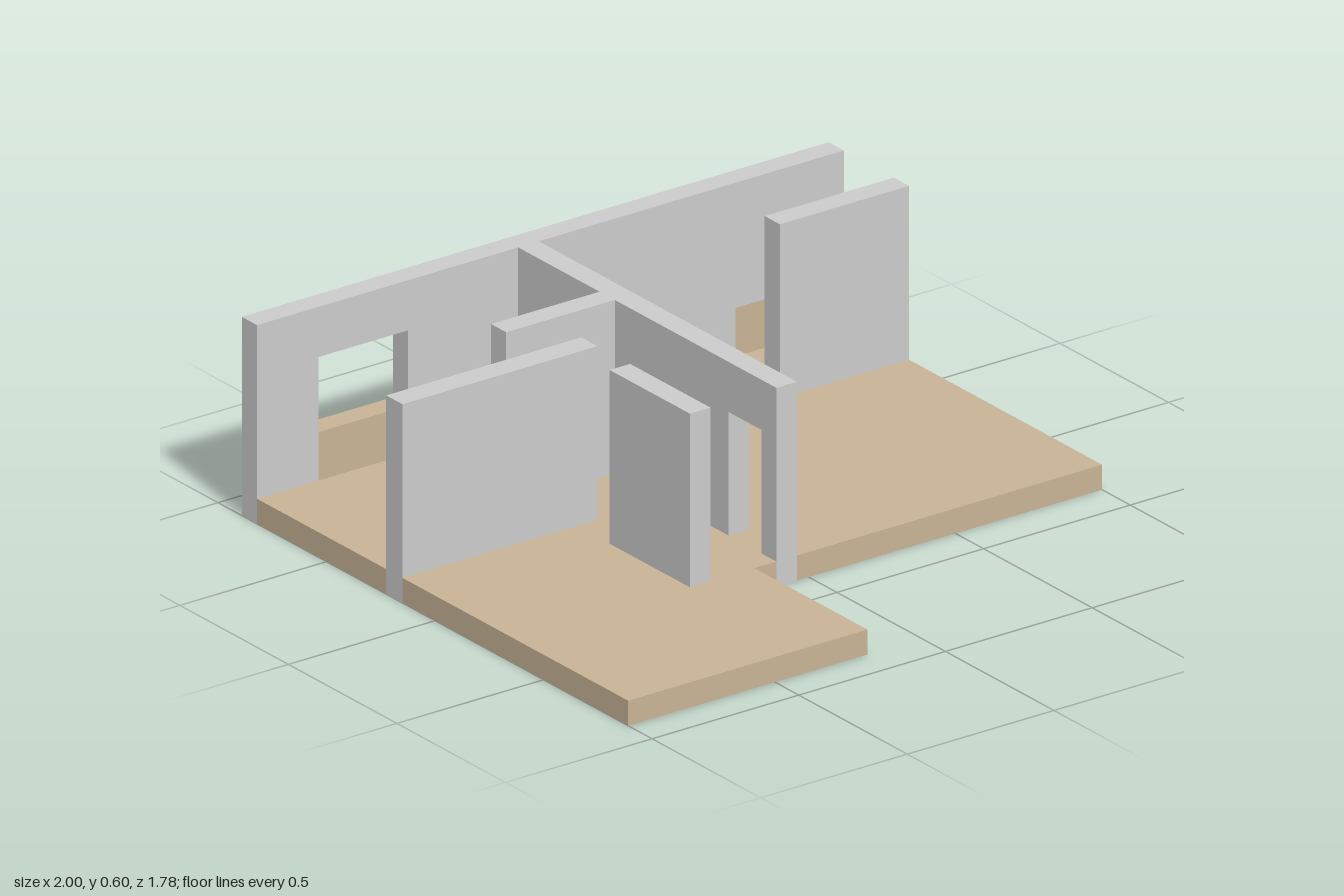
import * as THREE from 'three';

const FLOOR = 0.075, WALL = 0.595, SILL = 0.22, DOOR = 0.445;

export function createModel() {
  const model = new THREE.Group();
  const grey = new THREE.MeshStandardMaterial({ color: 0xcccccc });
  const tan = new THREE.MeshStandardMaterial({ color: 0xc8b496 });

  const add = (name, geometry, material) => {
    const mesh = new THREE.Mesh(geometry, material);
    mesh.name = name;
    model.add(mesh);
  };
  const shapeOf = (points) => new THREE.Shape(points.map(([x, y]) => new THREE.Vector2(x, y)));
  const extrude = (shape, depth) => new THREE.ExtrudeGeometry(shape, { depth, bevelEnabled: false });

  // Box given by its limits on each axis
  const block = (name, material, x0, x1, y0, y1, z0, z1) => {
    const g = new THREE.BoxGeometry(x1 - x0, y1 - y0, z1 - z0);
    add(name, g.translate((x0 + x1) / 2, (y0 + y1) / 2, (z0 + z1) / 2), material);
  };

  // Floor plate from an (x, z) outline
  const floor = (name, points, hole) => {
    const shape = shapeOf(points);
    if (hole) shape.holes.push(shapeOf(hole));
    add(name, extrude(shape, FLOOR).rotateX(Math.PI / 2).translate(0, FLOOR, 0), tan);
  };

  // Wall elevation from u0 to u1 with openings [from, to, height] rising from the ground
  const elevation = (u0, u1, openings) => {
    const points = [[u0, 0]];
    for (const [a, b, h] of openings) points.push([a, 0], [a, h], [b, h], [b, 0]);
    points.push([u1, 0], [u1, WALL], [u0, WALL]);
    return shapeOf(points);
  };

  // Floors of the two sides, cut around the walls
  floor('leftFloor', [
    [-0.04, -0.82], [1, -0.82], [1, -0.59], [0.56, -0.59],
    [0.56, -0.52], [1, -0.52], [1, 0.37], [-0.04, 0.37],
  ]);
  floor('rightFloor', [
    [-1, -0.82], [-0.335, -0.82], [-0.335, -0.445], [-0.48, -0.445], [-0.48, -0.375],
    [-0.11, -0.375], [-0.11, 0.37], [-0.185, 0.37], [-0.185, 0.89], [-1, 0.89],
    [-1, -0.15], [-0.335, -0.15], [-0.335, -0.225], [-1, -0.225],
  ], [[-0.405, 0], [-0.335, 0], [-0.335, 0.37], [-0.405, 0.37]]);
  block('closetFloor', grey, -0.335, -0.11, 0, FLOOR, -0.82, -0.445);

  // Back wall with one open window and two low panels
  const bays = [[-0.79, -0.485, DOOR], [0.04, 0.41, SILL], [0.63, 0.855, SILL]];
  add('backWall', extrude(elevation(-1, 1, bays), 0.07).translate(0, 0, -0.89), grey);
  for (const [a, b] of bays) block('sillPanel', tan, a, b, FLOOR, SILL, -0.89, -0.82);

  // Long middle wall with a doorway
  add('middleWall', extrude(elevation(-0.37, 0.82, [[-0.3, -0.15, DOOR]]), 0.07)
    .rotateY(Math.PI / 2).translate(-0.11, 0, 0), grey);
  block('middleThreshold', tan, -0.11, -0.04, 0, FLOOR, 0.15, 0.3);

  // Closet wall with a doorway
  add('closetWall', extrude(elevation(-0.48, -0.11, [[-0.335, -0.185, DOOR]]), 0.07)
    .translate(0, 0, -0.445), grey);
  block('closetThreshold', tan, -0.335, -0.185, 0, FLOOR, -0.445, -0.375);

  // Plain partitions
  block('leftPartition', grey, 0.56, 1, 0, WALL, -0.59, -0.52);
  block('rightPartition', grey, -1, -0.335, 0, WALL, -0.225, -0.15);
  block('hallPartition', grey, -0.405, -0.335, 0, WALL, 0, 0.37);

  return model;
}
